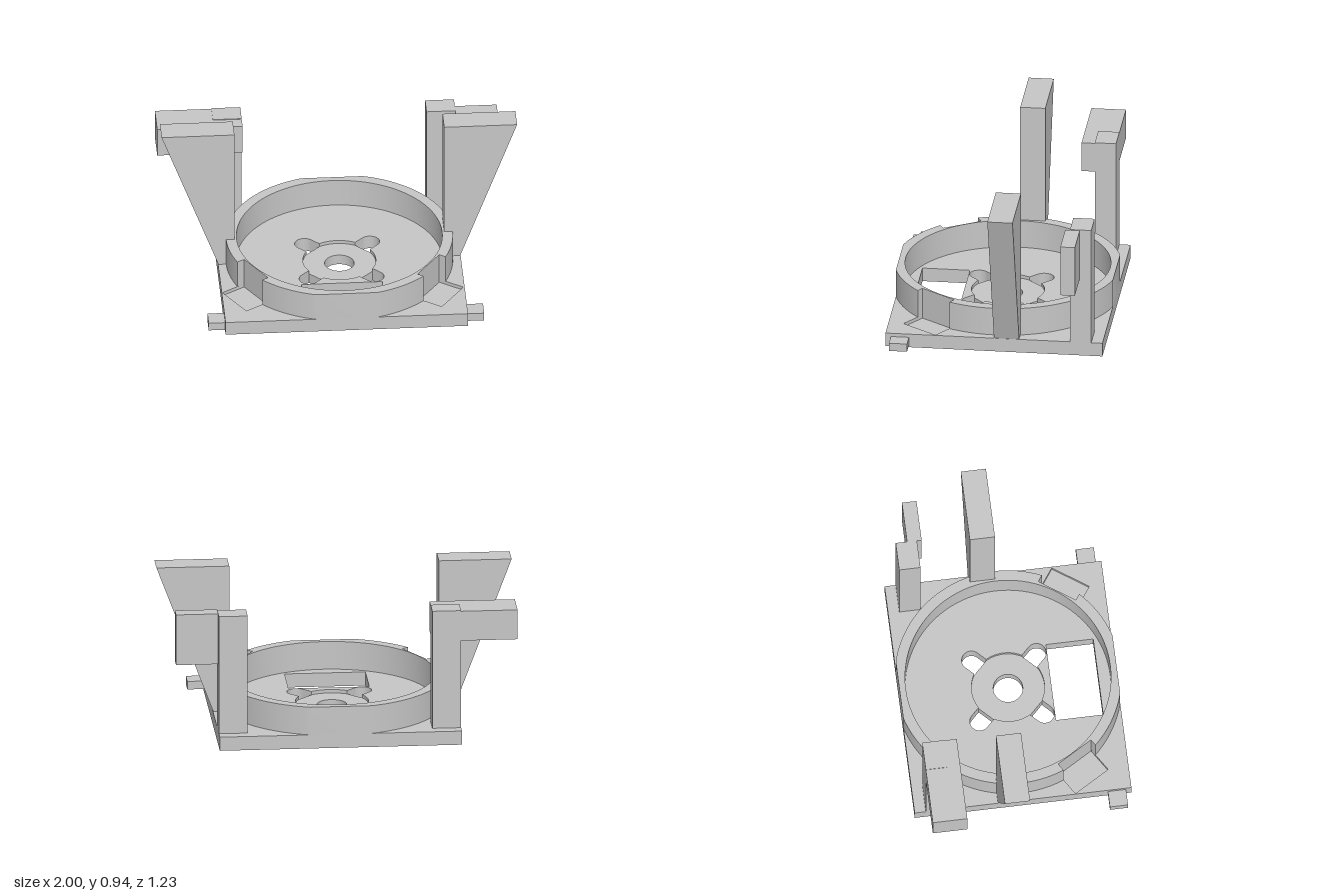
import * as THREE from 'three';
import { toCreasedNormals } from 'three/addons/utils/BufferGeometryUtils.js';

const grey = new THREE.MeshStandardMaterial({ color: 0xc6c6c6 });
grey.name = 'grey';

// Points along an arc in plan (x, z)
function arc(cx, cz, r, a0, a1, n) {
  const pts = [];
  for (let i = 0; i <= n; i++) {
    const a = a0 + ((a1 - a0) * i) / n;
    pts.push([cx + r * Math.cos(a), cz + r * Math.sin(a)]);
  }
  return pts;
}
const rad = THREE.MathUtils.degToRad;
// Plan points to shape points, reversed so the outline stays counter-clockwise
const toVec = (pts) => pts.map(([x, z]) => new THREE.Vector2(x, -z)).reverse();
const rect = (x0, x1, z0, z1) => [[x0, z0], [x1, z0], [x1, z1], [x0, z1]];
const circle = (r) => arc(0, 0, r, 0, Math.PI * 2, 96).slice(0, -1);

function addMesh(group, name, geometry) {
  const mesh = new THREE.Mesh(geometry, grey);
  mesh.name = name;
  group.add(mesh);
}

// Horizontal slab with a plan outline and holes
function slab(group, name, outline, holes, y0, y1) {
  const shape = new THREE.Shape(toVec(outline));
  for (const h of holes) shape.holes.push(new THREE.Path(toVec(h)));
  const g = new THREE.ExtrudeGeometry(shape, { depth: y1 - y0, bevelEnabled: false });
  g.rotateX(-Math.PI / 2).translate(0, y0, 0);
  addMesh(group, name, toCreasedNormals(g, 0.5));
}

function box(group, name, x0, x1, y0, y1, z0, z1) {
  const g = new THREE.BoxGeometry(x1 - x0, y1 - y0, z1 - z0);
  g.translate((x0 + x1) / 2, (y0 + y1) / 2, (z0 + z1) / 2);
  addMesh(group, name, g);
}

export function createModel() {
  const model = new THREE.Group();
  model.name = 'mountingBracket';

  // Four diagonal slots opening outward from a shallow round recess
  const recessR = 0.205, slotR = 0.055, slotD = 0.26;
  const half = Math.asin(slotR / recessR);
  const slots = [];
  const recess = [];
  for (let k = 0; k < 4; k++) {
    const a = Math.PI / 4 + (k * Math.PI) / 2;
    const start = arc(0, 0, recessR, a - half, a + half, 1);
    const end = arc(slotD * Math.cos(a), slotD * Math.sin(a), slotR, a - Math.PI / 2, a + Math.PI / 2, 24);
    const slot = [start[0], ...end, start[1]];
    slots.push(slot);
    recess.push(...slot, ...arc(0, 0, recessR, a + half, a + Math.PI / 2 - half, 16).slice(1, -1));
  }

  // Base plate in two layers, with window and shallow notch pockets
  const plate = rect(-0.682, 0.682, -0.613, 0.613);
  const opening = rect(-0.23, 0.225, 0.243, 0.51);
  const pocketL = [[0.545, 0.24], [0.675, 0.332], [0.54, 0.527], [0.41, 0.435]];
  const pocketR = [[-0.55, 0.215], [-0.678, 0.297], [-0.558, 0.497], [-0.43, 0.415]];
  slab(model, 'basePlateLower', plate, [opening, circle(0.083), ...slots], 0, 0.06);
  slab(model, 'basePlateUpper', plate, [opening, recess, pocketL, pocketR], 0.06, 0.08);

  // Round wall, trimmed flat front and back and notched on two sides
  const R = 0.637;
  const trim = Math.asin(0.613 / R);
  const wall = [
    ...arc(0, 0, R, -trim, rad(24.5), 40),
    [0.545, 0.24], [0.41, 0.435],
    ...arc(0, 0, R, rad(46), trim, 16),
    ...arc(0, 0, R, Math.PI - trim, rad(136.7), 16),
    [-0.43, 0.415], [-0.55, 0.215],
    ...arc(0, 0, R, rad(157.9), Math.PI + trim, 40),
  ];
  slab(model, 'ringWall', wall, [circle(0.578)], 0.08, 0.243);

  for (const s of [-1, 1]) {
    const side = s > 0 ? 'left' : 'right';

    // Tapered wing
    const wing = new THREE.Shape([
      new THREE.Vector2(s * 0.59, 0.08),
      new THREE.Vector2(s * 0.68, 0.08),
      new THREE.Vector2(s * 1.0, 0.935),
      new THREE.Vector2(s * 0.59, 0.935),
    ]);
    const g = new THREE.ExtrudeGeometry(wing, { depth: 0.142, bevelEnabled: false });
    addMesh(model, side + 'Wing', g.translate(0, 0, -0.142));

    // Small side tab at the front and post at the rear
    const tab = [0.682 * s, 0.775 * s].sort((a, b) => a - b);
    box(model, side + 'Tab', ...tab, 0.013, 0.06, 0.48, 0.582);
    const post = [0.52 * s, 0.682 * s].sort((a, b) => a - b);
    box(model, side + 'RearPost', ...post, 0.08, 0.77, -0.55, -0.43);
  }

  // Arms on the rear posts
  box(model, 'rightArm', -1, -0.682, 0.593, 0.766, -0.55, -0.43);
  box(model, 'rightArmFront', -1, -0.52, 0.593, 0.766, -0.43, -0.355);
  box(model, 'leftArm', 0.682, 0.918, 0.47, 0.766, -0.485, -0.403);

  return model;
}
